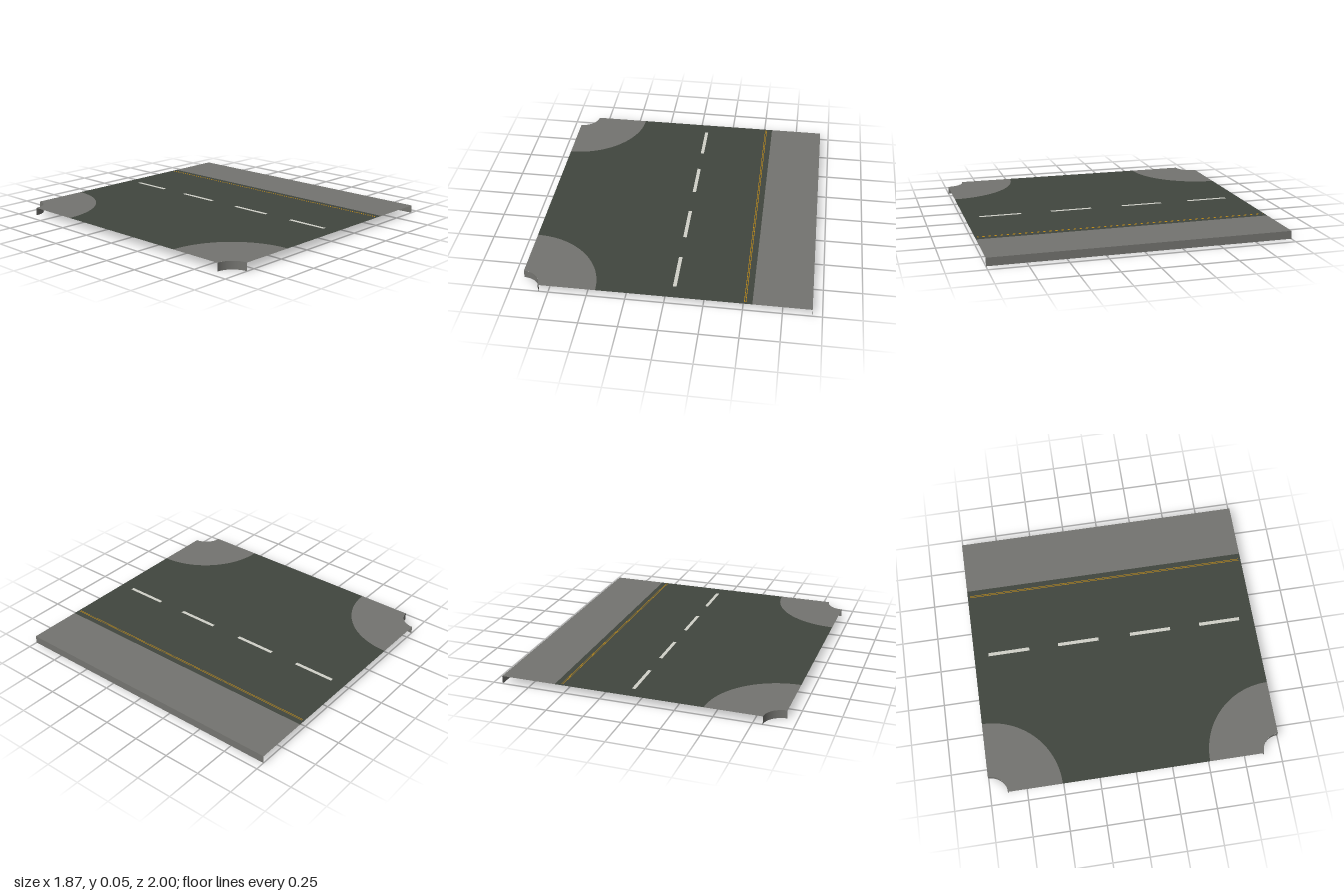
import * as THREE from 'three';

const TOP = 0.054, X = 0.935, KERB = 0.56, R_OUT = 0.495, R_IN = 0.122;

export function createModel() {
  const group = new THREE.Group();
  group.name = 'roadJunction';

  const material = (name, color) =>
    new THREE.MeshStandardMaterial({ name, color, side: THREE.DoubleSide });
  const asphalt = material('asphalt', 0x41463f);
  const concrete = material('concrete', 0x747470);
  const whitePaint = material('whitePaint', 0xd0d0c8);
  const yellowPaint = material('yellowPaint', 0xc08a10);

  const add = (name, geometry, mat, x = 0, y = 0, z = 0) => {
    const mesh = new THREE.Mesh(geometry, mat);
    mesh.name = name;
    mesh.position.set(x, y, z);
    group.add(mesh);
    return mesh;
  };
  // Flat sheet lying in the ground plane, shape y becomes -z
  const sheet = (shape) => new THREE.ShapeGeometry(shape, 32).rotateX(-Math.PI / 2);

  // Road surface with a rounded bite at both side-street corners
  const road = new THREE.Shape();
  road.moveTo(-X + R_OUT, -1);
  road.lineTo(KERB, -1);
  road.lineTo(KERB, 1);
  road.lineTo(-X + R_OUT, 1);
  road.absarc(-X, 1, R_OUT, 0, -Math.PI / 2, true);
  road.lineTo(-X, -1 + R_OUT);
  road.absarc(-X, -1, R_OUT, Math.PI / 2, 0, true);
  add('roadSurface', sheet(road), asphalt, 0, TOP);

  // Straight pavement and its outer wall
  const width = X - KERB;
  add('pavement', new THREE.PlaneGeometry(width, 2).rotateX(-Math.PI / 2), concrete, KERB + width / 2, TOP);
  add('pavementWall', new THREE.PlaneGeometry(2, TOP).rotateY(Math.PI / 2), concrete, X, TOP / 2);

  // Corner pavements, each a quarter ring with a curved inner wall
  for (const side of [1, -1]) {
    const name = side > 0 ? 'front' : 'back';
    const a = side > 0 ? 0 : -Math.PI / 2;
    const ring = new THREE.Shape();
    ring.absarc(0, 0, R_OUT, a, a + Math.PI / 2, false);
    ring.absarc(0, 0, R_IN, a + Math.PI / 2, a, true);
    add(name + 'CornerPavement', sheet(ring), concrete, -X, TOP, side);
    const start = side > 0 ? Math.PI / 2 : 0;
    add(name + 'CornerWall',
      new THREE.CylinderGeometry(R_IN, R_IN, TOP, 16, 1, true, start, Math.PI / 2),
      concrete, -X, TOP / 2, side);
  }

  // Centre dashes, showing on both faces of the sheet
  for (const z of [-0.755, -0.26, 0.255, 0.755])
    add('centreDash', new THREE.BoxGeometry(0.024, 0.002, 0.29), whitePaint, 0.057, TOP, z);

  // Double yellow kerb lines
  for (const x of [0.509, 0.519])
    add('kerbLine', new THREE.PlaneGeometry(0.004, 1.97).rotateX(-Math.PI / 2), yellowPaint, x, TOP + 0.001);

  return group;
}
